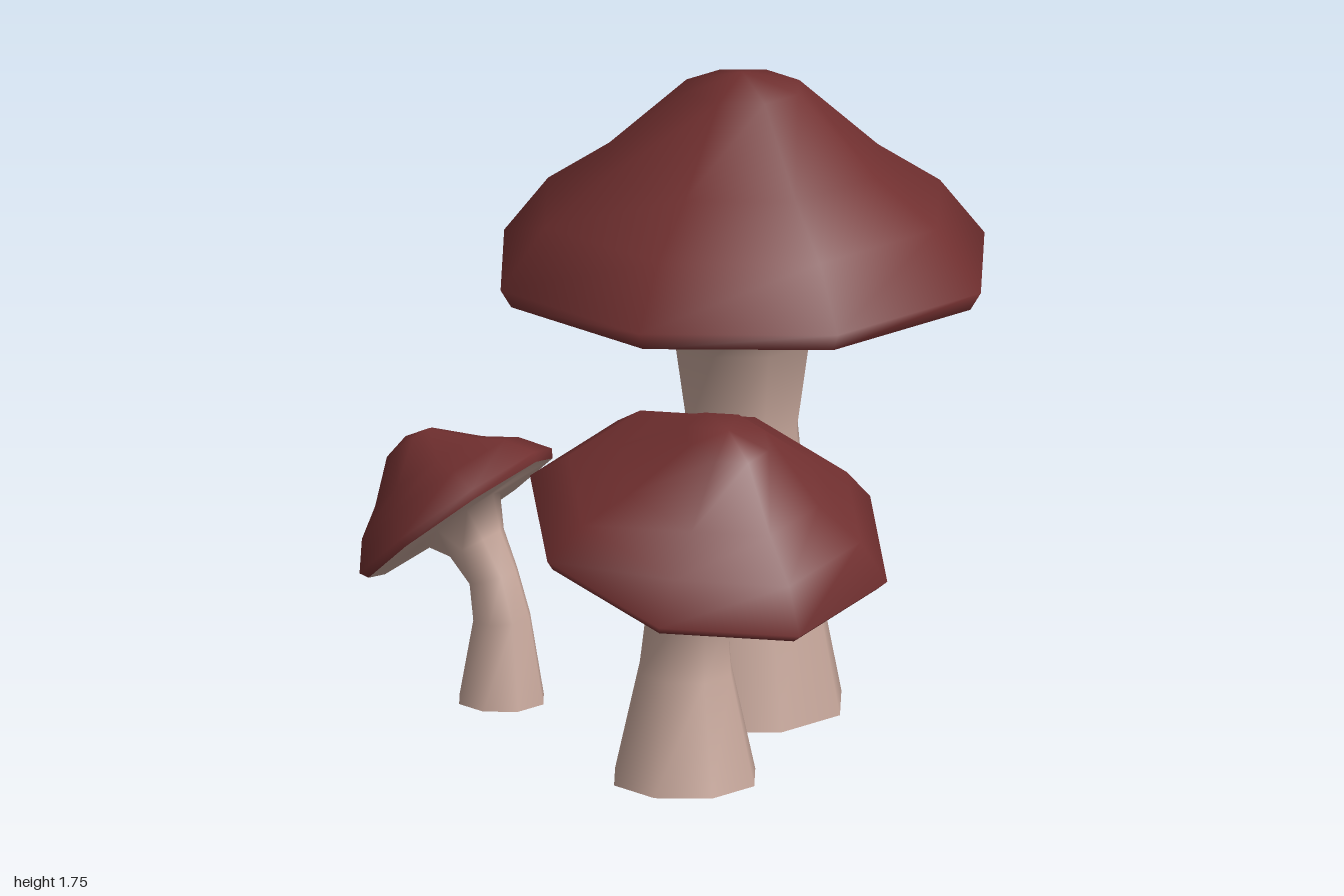
import * as THREE from 'three';
import { mergeVertices } from 'three/addons/utils/BufferGeometryUtils.js';

const SIDES = 8;
const v = (p) => new THREE.Vector3(...p);

// Smooth skin through eight-sided rings: { c: centre, r: radius, q: orientation }
function loft(rings) {
  const pos = [], index = [];
  rings.forEach(({ c, r, q }, i) => {
    for (let k = 0; k < SIDES; k++) {
      const a = (k / SIDES) * Math.PI * 2;
      const p = new THREE.Vector3(r * Math.cos(a), 0, r * Math.sin(a)).applyQuaternion(q).add(c);
      pos.push(p.x, p.y, p.z);
      if (i === rings.length - 1) continue;
      const k2 = (k + 1) % SIDES;
      const a0 = i * SIDES + k, b0 = i * SIDES + k2;
      index.push(a0, a0 + SIDES, b0, b0, a0 + SIDES, b0 + SIDES);
    }
  });
  let geo = new THREE.BufferGeometry();
  geo.setAttribute('position', new THREE.Float32BufferAttribute(pos, 3));
  geo.setIndex(index);
  geo = mergeVertices(geo, 1e-5);
  geo.computeVertexNormals();
  return geo;
}

// Cap profile as [fraction of radius, fraction of height], from rim to tip
const CAP = [[0.956, -0.095], [1, 0], [0.816, 0.305], [0.559, 0.533], [0.235, 0.92], [0, 1]];

// Each mushroom: cap centre, its sideways and forward axes, size, and stem rings
// as [x, y, z, radius, share of the cap's tilt]
const MUSHROOMS = [
  {
    name: 'largeMushroom', centre: [0.063, 1.22, -0.31], side: [1, 0, 0], front: [0, 0, 1],
    radius: 0.685, height: 0.525, stemTop: 0.28,
    stem: [[0.063, 0, -0.31, 0.28, 0], [0.063, 0.47, -0.31, 0.185, 0],
      [0.063, 0.77, -0.31, 0.155, 0], [0.063, 1.01, -0.31, 0.19, 0]],
  },
  {
    name: 'mediumMushroom', centre: [0.325, 0.757, 0.515], side: [0.475, -0.115, -0.095], front: [0.035, -0.12, 0.475],
    radius: 0.495, height: 0.325, stemTop: 0.2,
    stem: [[0.23, 0.04, 0.455, 0.2, 0], [0.23, 0.34, 0.45, 0.13, 0.1],
      [0.24, 0.5, 0.46, 0.113, 0.4], [0.275, 0.62, 0.48, 0.137, 0.8]],
  },
  {
    name: 'smallMushroom', centre: [-0.563, 0.583, 0.145], side: [0.237, 0.2, 0.02], front: [-0.03, 0.005, 0.305],
    radius: 0.309, height: 0.238, stemTop: 0.127,
    stem: [[-0.425, 0.085, 0.16, 0.12, 0], [-0.425, 0.31, 0.158, 0.08, 0.1],
      [-0.45, 0.42, 0.155, 0.069, 0.45], [-0.5, 0.505, 0.15, 0.082, 0.8]],
  },
];

export function createModel() {
  const capRed = new THREE.MeshStandardMaterial({ color: 0x702f2f });
  capRed.name = 'capRed';
  const stemBeige = new THREE.MeshStandardMaterial({ color: 0xc8a89c, side: THREE.DoubleSide });
  stemBeige.name = 'stemBeige';

  const model = new THREE.Group();
  model.name = 'mushroomCluster';

  for (const m of MUSHROOMS) {
    const group = new THREE.Group();
    group.name = m.name;

    // Tilted frame of the cap
    const x = v(m.side).normalize();
    const y = v(m.front).cross(x).normalize();
    const z = new THREE.Vector3().crossVectors(x, y);
    const tilt = new THREE.Quaternion().setFromRotationMatrix(new THREE.Matrix4().makeBasis(x, y, z));
    const centre = v(m.centre);
    const capRing = (r, h) => ({ c: centre.clone().addScaledVector(y, h), r, q: tilt });

    // Cap
    const cap = new THREE.Mesh(loft(CAP.map(([r, h]) => capRing(r * m.radius, h * m.height))), capRed);
    cap.name = 'cap';

    // Hollow stem flaring into the underside of the cap
    const rings = m.stem.map(([px, py, pz, r, t]) => ({
      c: new THREE.Vector3(px, py, pz), r, q: new THREE.Quaternion().slerp(tilt, t),
    }));
    const [rimR, rimH] = CAP[0];
    rings.push(capRing(m.stemTop, rimH * m.height), capRing(rimR * m.radius, rimH * m.height));
    const stem = new THREE.Mesh(loft(rings), stemBeige);
    stem.name = 'stemAndUnderside';

    group.add(cap, stem);
    model.add(group);
  }
  return model;
}
